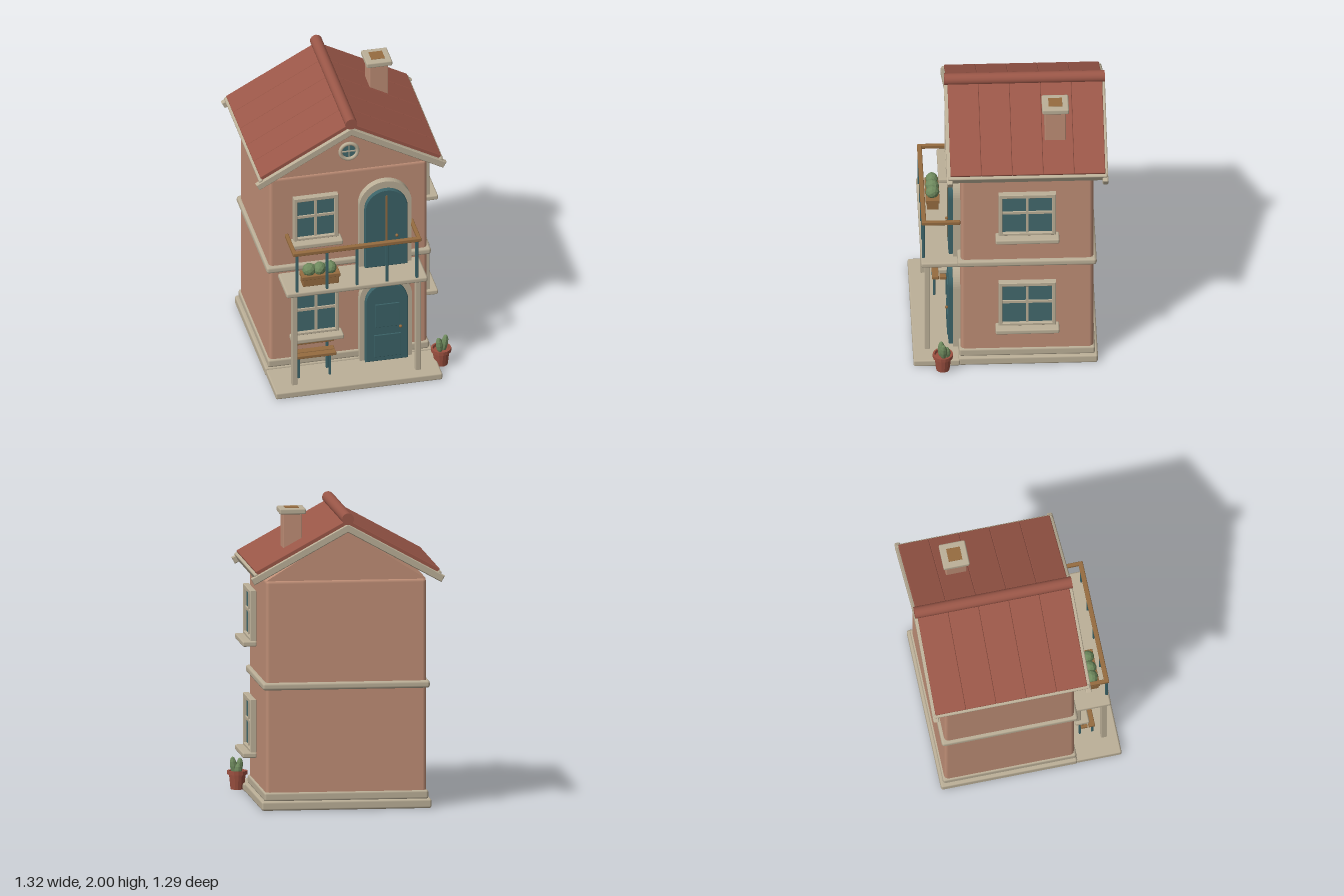
import * as THREE from 'three';
import { RoundedBoxGeometry } from 'three/addons/geometries/RoundedBoxGeometry.js';

const mat = (name, color, flatShading = false) => {
  const m = new THREE.MeshStandardMaterial({ color, flatShading });
  m.name = name;
  return m;
};

export function createModel() {
  const wall = mat('salmon plaster', 0xc08f77);
  const trim = mat('pale stone', 0xbcb098);
  const tile = mat('red roof tile', 0x9b5748);
  const teal = mat('teal paint', 0x3c6469);
  const glass = mat('window glass', 0x436a6e);
  const wood = mat('warm wood', 0x966c40);
  const leaf = mat('leaf green', 0x6f8a5e, true);
  const clay = mat('clay pot', 0x9c5040);

  const house = new THREE.Group();
  house.name = 'house';
  const CX = -0.016; // centre line of the building

  const add = (name, geo, material, x = 0, y = 0, z = 0, parent = house) => {
    const m = new THREE.Mesh(geo, material);
    m.name = name;
    m.position.set(x, y, z);
    parent.add(m);
    return m;
  };
  // Bevelled block given by its limits on each axis
  const block = (name, material, [x0, x1], [y0, y1], [z0, z1], bevel = 0.006, parent = house) => {
    const w = x1 - x0, h = y1 - y0, d = z1 - z0;
    const r = Math.min(bevel, w * 0.4, h * 0.4, d * 0.4);
    return add(name, new RoundedBoxGeometry(w, h, d, 1, r), material,
      (x0 + x1) / 2, (y0 + y1) / 2, (z0 + z1) / 2, parent);
  };
  const poly = pts => new THREE.Shape(pts.map(p => new THREE.Vector2(...p)));
  const extrude = (shape, depth, bevel = 0) => new THREE.ExtrudeGeometry(shape, {
    depth: depth - 2 * bevel, bevelEnabled: bevel > 0, bevelSize: bevel, bevelOffset: -bevel,
    bevelThickness: bevel, bevelSegments: 1, curveSegments: 16,
  }).translate(0, 0, bevel);

  // Ground slabs, walls and bands
  block('foundation', trim, [-0.585, 0.553], [0, 0.063], [-0.58, 0.345], 0.015);
  block('patio', trim, [-0.58, 0.555], [0, 0.05], [0.335, 0.645], 0.012);
  block('walls', wall, [-0.553, 0.521], [0.05, 1.54], [-0.55, 0.33], 0.025);
  block('plinth', trim, [-0.565, 0.533], [0.06, 0.12], [-0.562, 0.342], 0.015);
  block('floorBand', trim, [-0.575, 0.545], [0.805, 0.855], [-0.572, 0.352], 0.018);
  add('gable', extrude(poly([[-0.535, 1.535], [0.535, 1.535], [0, 1.87]]), 0.87), wall, CX, 0, -0.545);

  // Roof: five tile panels and an eave board on each slope
  const slope = Math.atan(0.55), len = 0.617 / Math.cos(slope);
  for (const s of [-1, 1]) {
    const side = new THREE.Group();
    side.name = 'roofSlope';
    side.position.set(CX, 1.951, 0);
    side.rotation.z = -s * slope;
    house.add(side);
    const span = (a, b) => (s > 0 ? [a, b] : [-b, -a]);
    for (let i = 0; i < 5; i++) {
      const z = -0.627 + i * 0.2055;
      block('roofPanel', tile, span(0, len), [-0.055, 0], [z, z + 0.2055], 0.005, side);
    }
    block('eaveBoard', trim, span(len - 0.005, len + 0.022), [-0.073, -0.012], [-0.64, 0.418], 0.008, side);
  }
  // Chevron gable boards
  const dx = 0.648, top = 1.922, t = 0.048, ex = dx - t * Math.sin(slope);
  const ey = top - 0.55 * dx, by = ey - t * Math.cos(slope);
  const chevron = poly([[-dx, ey], [-ex, by], [0, top - t / Math.cos(slope)], [ex, by], [dx, ey], [0, top]]);
  for (const z of [-0.646, 0.387]) add('gableBoard', extrude(chevron, 0.037, 0.005), trim, CX, 0, z);
  add('ridge', new THREE.CylinderGeometry(0.04, 0.04, 1.066, 16).rotateX(Math.PI / 2), tile, CX, 1.955, -0.111);

  // Chimney
  block('chimney', wall, [0.257, 0.384], [1.7, 1.965], [-0.373, -0.232]);
  block('chimneyCap', trim, [0.233, 0.409], [1.958, 1.997], [-0.393, -0.215], 0.01);
  block('flue', wood, [0.275, 0.367], [1.97, 2], [-0.35, -0.258], 0.001);

  // Round attic window
  const attic = new THREE.Group();
  attic.name = 'atticWindow';
  attic.position.set(CX, 1.698, 0.335);
  house.add(attic);
  add('atticFrame', new THREE.TorusGeometry(0.059, 0.013, 8, 28), trim, 0, 0, 0.012, attic);
  add('atticGlass', new THREE.CylinderGeometry(0.056, 0.056, 0.02, 28).rotateX(Math.PI / 2), glass, 0, 0, 0, attic);
  add('atticBar', new THREE.BoxGeometry(0.1, 0.008, 0.012), trim, 0, 0, 0.01, attic);
  add('atticBar', new THREE.BoxGeometry(0.008, 0.1, 0.012), trim, 0, 0, 0.01, attic);

  // Four-pane window with a sill; the origin is the bottom centre of the frame
  const addWindow = (name, w, h, x, y, z, turn) => {
    const g = new THREE.Group();
    g.name = name;
    g.position.set(x, y, z);
    g.rotation.y = turn;
    house.add(g);
    const rect = (a, b, c, d) => [[a, b], [c, b], [c, d], [a, d]];
    const frame = poly(rect(-w / 2, 0, w / 2, h));
    frame.holes.push(poly(rect(-w / 2 + 0.026, 0.022, w / 2 - 0.026, h - 0.03)));
    add('windowFrame', extrude(frame, 0.042, 0.004), trim, 0, 0, 0, g);
    add('windowGlass', new THREE.BoxGeometry(w - 0.04, h - 0.04, 0.02), glass, 0, h / 2, 0.012, g);
    add('windowBar', new THREE.BoxGeometry(0.018, h - 0.04, 0.016), trim, 0, h / 2, 0.025, g);
    add('windowBar', new THREE.BoxGeometry(w - 0.04, 0.018, 0.016), trim, 0, h * 0.54, 0.025, g);
    const sw = w / 2 + 0.022;
    block('windowSill', trim, [-sw, sw], [-0.034, 0.002], [0, 0.095], 0.01, g);
  };
  addWindow('upperFrontWindow', 0.302, 0.333, -0.252, 1.073, 0.363, 0);
  addWindow('lowerFrontWindow', 0.31, 0.357, -0.25, 0.328, 0.363, 0);
  addWindow('upperSideWindow', 0.38, 0.337, 0.553, 1.1, -0.109, Math.PI / 2);
  addWindow('lowerSideWindow', 0.38, 0.353, 0.553, 0.354, -0.109, Math.PI / 2);

  // Arched doors
  const arch = (r, y0, y1) => {
    const s = new THREE.Shape();
    s.moveTo(-r, y0);
    s.lineTo(r, y0);
    s.lineTo(r, y1 - r);
    s.absarc(0, y1 - r, r, 0, Math.PI, false);
    s.lineTo(-r, y0);
    return s;
  };
  const addDoor = (name, y0, y1, x) => {
    const ring = arch(0.178, y0, y1);
    // inner edge of the surround, cut right down to the threshold
    ring.holes.push(new THREE.Path(arch(0.142, y0 + 0.003, y1 - 0.052).getPoints(16)));
    add(name + 'Surround', extrude(ring, 0.05), trim, x, 0, 0.328);
    add(name, extrude(arch(0.145, y0, y1 - 0.05), 0.075, 0.005), teal, x, 0, 0.332);
  };
  addDoor('frontDoor', 0.052, 0.707, 0.229);
  addDoor('balconyDoor', 0.795, 1.443, 0.226);
  block('doorPanel', teal, [0.15, 0.315], [0.32, 0.5], [0.4, 0.414], 0.004);
  block('doorPanel', teal, [0.14, 0.325], [0.087, 0.26], [0.4, 0.414], 0.004);
  block('doorSeam', wood, [0.22, 0.232], [0.83, 1.35], [0.4, 0.411], 0.002);
  for (const [x, y] of [[0.32, 0.315], [0.294, 1.035]])
    add('doorKnob', new THREE.SphereGeometry(0.011, 10, 8), wood, x, y, 0.418);

  // Balcony with columns, rail and thin posts
  block('balconyFloor', trim, [-0.495, 0.467], [0.75, 0.79], [0.32, 0.592], 0.014);
  for (const x of [-0.434, 0.406])
    block('column', trim, [x - 0.019, x + 0.019], [0.045, 0.755], [0.53, 0.568]);
  for (let i = 0; i < 5; i++) {
    const x = -0.42 + i * 0.2035;
    block('railPost', teal, [x - 0.009, x + 0.009], [0.785, 1.075], [0.565, 0.583], 0.003);
  }
  block('frontRail', wood, [-0.45, 0.424], [1.07, 1.098], [0.556, 0.587]);
  for (const x of [-0.437, 0.411])
    block('sideRail', wood, [x - 0.013, x + 0.013], [1.07, 1.098], [0.33, 0.57]);

  // Planter with three bushes
  block('planter', wood, [-0.37, -0.125], [0.79, 0.85], [0.455, 0.532], 0.004);
  block('planterRim', wood, [-0.378, -0.117], [0.845, 0.872], [0.448, 0.54], 0.004);
  for (let i = 0; i < 3; i++) {
    const b = add('bush', new THREE.IcosahedronGeometry(0.048, 1), leaf, -0.32 + i * 0.071, 0.9, 0.494);
    b.scale.set(1, 0.95, 0.88);
    b.rotation.y = i;
  }

  // Bench
  for (const z of [0.425, 0.475]) block('benchSeat', wood, [-0.42, -0.135], [0.2, 0.223], [z - 0.022, z + 0.022], 0.004);
  block('benchBack', wood, [-0.42, -0.135], [0.263, 0.302], [0.405, 0.422], 0.004);
  for (const x of [-0.388, -0.177]) {
    block('benchBackLeg', teal, [x - 0.008, x + 0.008], [0.045, 0.315], [0.392, 0.408], 0.003);
    block('benchFrontLeg', teal, [x - 0.008, x + 0.008], [0.045, 0.205], [0.475, 0.491], 0.003);
  }

  // Potted cactus beside the patio
  const profile = [[0, 0], [0.045, 0], [0.056, 0.1], [0.068, 0.1], [0.068, 0.125], [0.056, 0.125], [0.053, 0.105], [0, 0.105]];
  const pot = new THREE.LatheGeometry(profile.map(p => new THREE.Vector2(...p)), 14);
  const potMat = clay;
  potMat.flatShading = true;
  add('pot', pot, potMat, 0.587, 0.005, 0.452);
  for (const [x, y, z, h, tilt] of [[0.573, 0.155, 0.462, 0.06, 0.12], [0.612, 0.16, 0.448, 0.065, -0.15], [0.585, 0.135, 0.425, 0.045, 0]]) {
    const c = add('cactus', new THREE.SphereGeometry(1, 8, 6), leaf, x, y, z);
    c.scale.set(0.024, h, 0.024);
    c.rotation.z = tilt;
  }
  return house;
}
